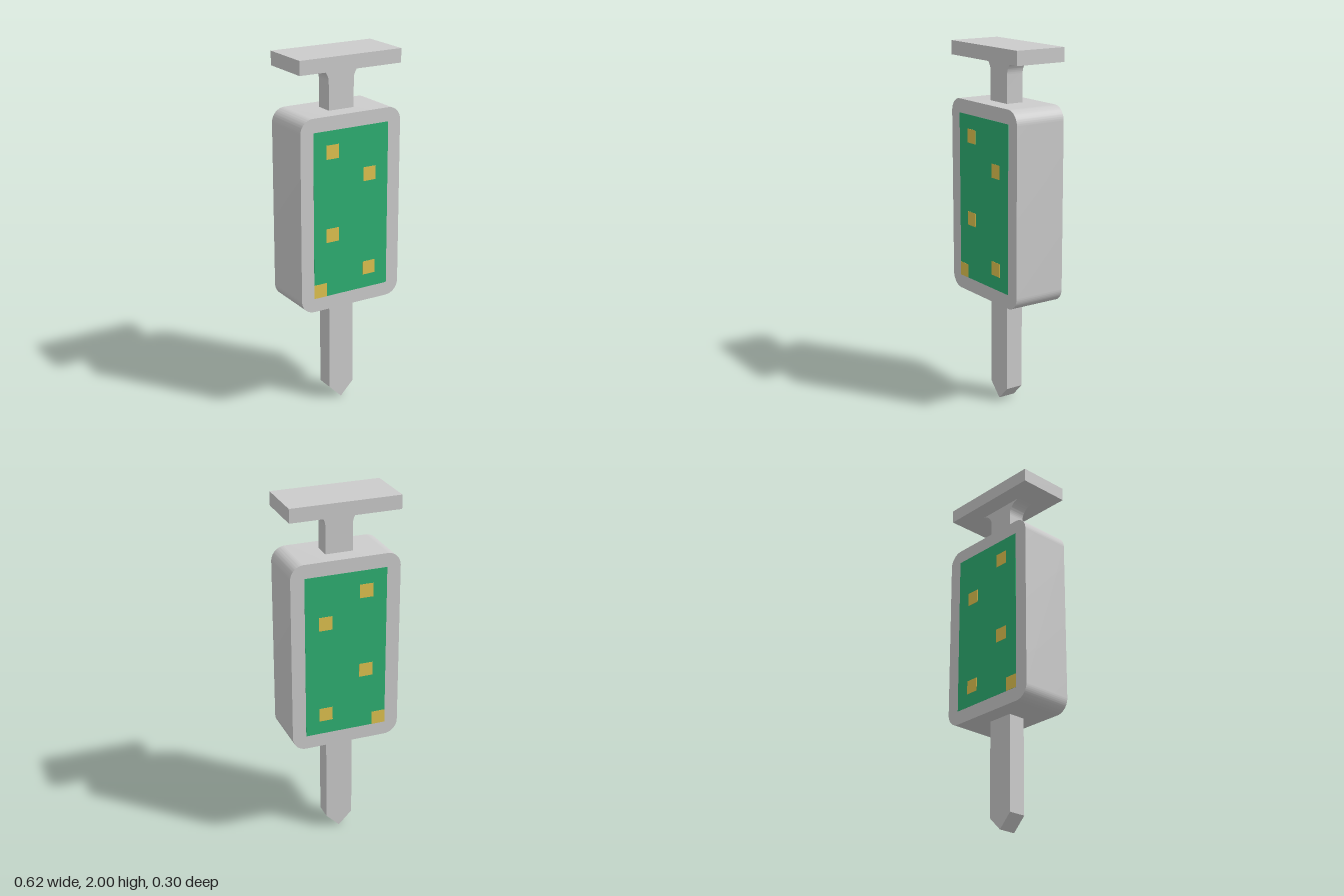
import * as THREE from 'three';
import { toCreasedNormals } from 'three/addons/utils/BufferGeometryUtils.js';

const U = 1 / 13;        // design unit: the model is 26 units tall
const DEPTH = 0.3;       // depth of body and handle
const STEM_DEPTH = 0.1;  // depth of blade and neck

const grey = new THREE.MeshStandardMaterial({ color: 0xcccccc });
const green = new THREE.MeshStandardMaterial({ color: 0x2eb072 });
const yellow = new THREE.MeshStandardMaterial({ color: 0xdfc24f });

function add(group, name, geometry, material) {
  const mesh = new THREE.Mesh(geometry, material);
  mesh.name = name;
  group.add(mesh);
  return mesh;
}

// Extrude an outline along z, centred, with smooth rounded corners
function slab(shape, depth) {
  const g = new THREE.ExtrudeGeometry(shape, { depth, bevelEnabled: false, curveSegments: 12 });
  g.translate(0, 0, -depth / 2);
  return toCreasedNormals(g, Math.PI / 6);
}

// Box given by centre and size in design units, with depth in model units
function block(x, y, w, h, depth) {
  return new THREE.BoxGeometry(w * U, h * U, depth).translate(x * U, y * U, 0);
}

function roundedRect(x0, y0, x1, y1, r) {
  const s = new THREE.Shape();
  s.absarc(x1 - r, y0 + r, r, -Math.PI / 2, 0);
  s.absarc(x1 - r, y1 - r, r, 0, Math.PI / 2);
  s.absarc(x0 + r, y1 - r, r, Math.PI / 2, Math.PI);
  s.absarc(x0 + r, y0 + r, r, Math.PI, Math.PI * 1.5);
  s.closePath();
  return s;
}

export function createModel() {
  const group = new THREE.Group();

  // Pointed blade below the body
  const bladeShape = new THREE.Shape([[0, 0], [1, 1], [1, 8], [-1, 8], [-1, 1]]
    .map(([x, y]) => new THREE.Vector2(x * U, y * U)));
  add(group, 'blade', slab(bladeShape, STEM_DEPTH), grey);

  // Rounded body
  add(group, 'body', slab(roundedRect(-4 * U, 8 * U, 4 * U, 22 * U, U), DEPTH), grey);

  // Neck flaring into the handle through two fillets
  const neckShape = new THREE.Shape();
  neckShape.moveTo(-U, 22 * U);
  neckShape.lineTo(U, 22 * U);
  neckShape.absarc(2 * U, 24 * U, U, Math.PI, Math.PI / 2, true);
  neckShape.absarc(-2 * U, 24 * U, U, Math.PI / 2, 0, true);
  neckShape.closePath();
  add(group, 'neck', slab(neckShape, STEM_DEPTH), grey);

  // Flat handle on top
  add(group, 'handle', block(0, 25.5, 8, 1, DEPTH), grey);

  // Panel and chips pass through the body and show on front and back
  add(group, 'panel', block(0, 15, 6, 12, DEPTH + 0.002), green);
  const chips = [[-1.5, 19.5], [1.5, 17.5], [-1.5, 13.5], [1.5, 10.5], [-2.5, 9.5]];
  chips.forEach(([x, y], i) =>
    add(group, `chip${i + 1}`, block(x, y, 1, 1, DEPTH + 0.004), yellow));

  return group;
}
